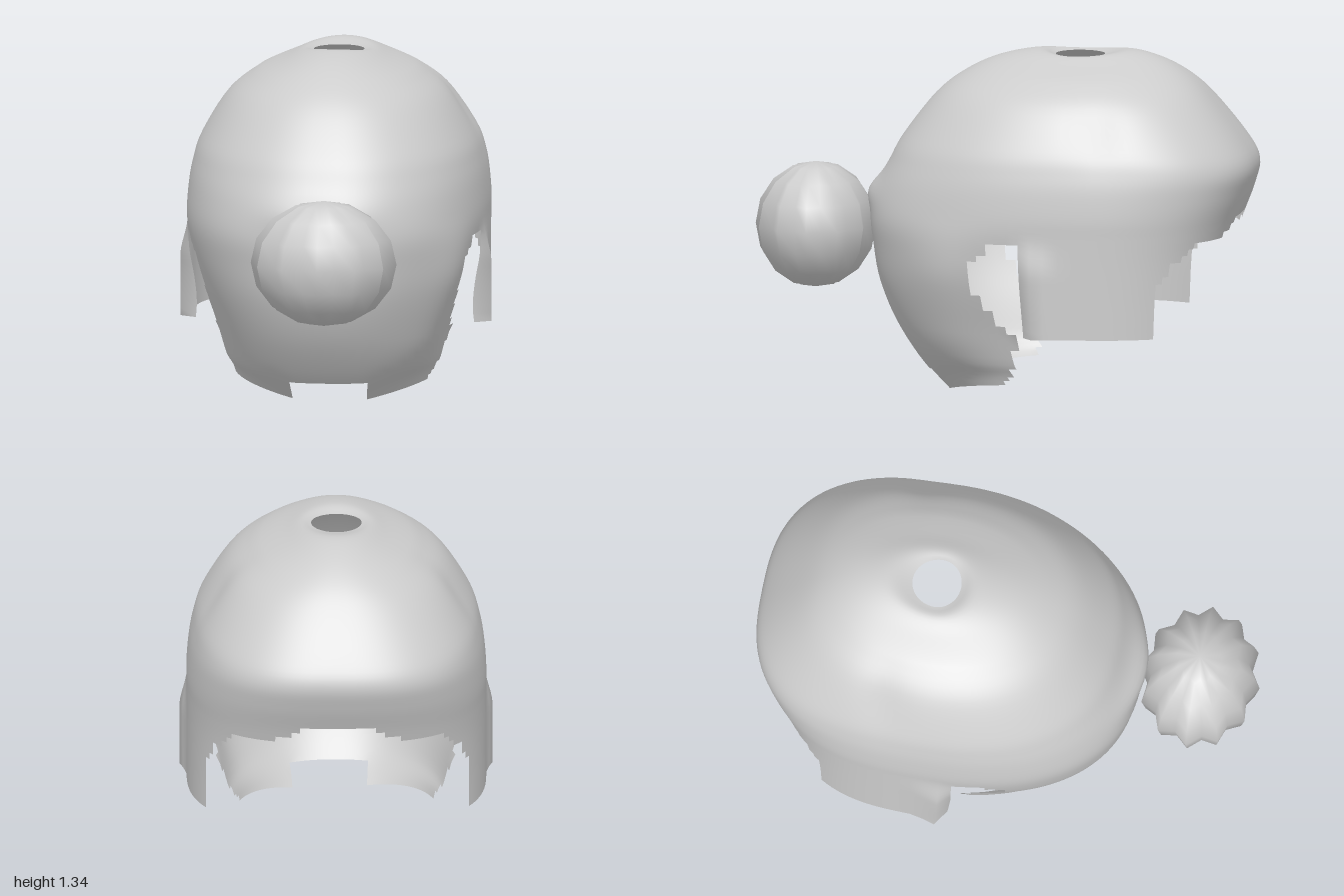
import * as THREE from 'three';
import { mergeVertices } from 'three/addons/utils/BufferGeometryUtils.js';

const CX = 0.012, CZ = -0.28; // axis of the shell
const { smoothstep, lerp } = THREE.MathUtils;
const bump = (v, centre, width) => Math.exp(-(((v - centre) / width) ** 2));

// Horizontal sections from crown to nape: y, half width, front z, back z
const SECTIONS = [
  [1.322, 0.1, -0.19, -0.385],
  [1.342, 0.145, -0.12, -0.49],
  [1.312, 0.215, 0.035, -0.61],
  [1.25, 0.32, 0.17, -0.72],
  [1.16, 0.435, 0.285, -0.815],
  [1.0, 0.535, 0.41, -0.94],
  [0.9, 0.569, 0.465, -0.99],
  [0.8, 0.586, 0.51, -0.97],
  [0.68, 0.592, 0.54, -0.925],
  [0.56, 0.572, 0.53, -0.89],
  [0.42, 0.53, 0.505, -0.87],
  [0.26, 0.475, 0.44, -0.86],
  [0.1, 0.432, 0.335, -0.85],
  [0.0, 0.41, 0.24, -0.85],
];

// Piecewise linear lookup through [key, value] pairs with rising keys
function lookup(pairs, k) {
  for (let i = 1; i < pairs.length; i++) {
    const [k0, v0] = pairs[i - 1], [k1, v1] = pairs[i];
    if (k <= k1) return v0 + (v1 - v0) * Math.max(0, (k - k0) / (k1 - k0));
  }
  return pairs[pairs.length - 1][1];
}

const NAPE_EDGE = [[0.06, -0.05], [0.12, -0.08], [0.24, -0.1], [0.33, 0], [0.46, 0.09], [0.56, 0.08], [0.62, 0]];
const FLAP_HEM = [[-0.98, 0.76], [-0.93, 0.7], [-0.89, 0.64], [-0.8, 0.62], [-0.72, 0.55], [-0.66, 0.46], [-0.65, 0.27], [-0.1, 0.27]];

// True where the hair exists: crown, side flaps, and nape, with an ear opening
function covered(x, y, z) {
  if (z < -0.14) return y > lookup(FLAP_HEM, z);
  if (y > 0.625) return true;
  return z > lookup(NAPE_EDGE, y) && (y > 0.075 || Math.abs(x - 0.035) > 0.145);
}

// Point of the shell on a section row (0 = crown hole) at angle t from the front
function shellPoint(row, [y, w, zf, zb], t) {
  const s = Math.sin(t), c = Math.cos(t);
  const square = lerp(2, c > 0 ? 2.3 : 2.7, smoothstep(row, 1, 6));
  const e = 2 / square;
  let z = CZ + Math.sign(c) * Math.abs(c) ** e * (c > 0 ? zf - CZ : CZ - zb);

  // side flaps hang straight and flare at the ear, while the nape tapers
  let half = w;
  if (y < 0.68 && y > 0.24) {
    half = lerp(0.592, w, smoothstep(z, -0.17, -0.1));
    half += 0.03 * bump(z, -0.17, 0.06) * (1 - smoothstep(y, 0.5, 0.66));
  }
  // shallow furrow down each temple
  half -= 0.016 * bump(z, -0.42, 0.09) * bump(y, 1.1, 0.13);
  let x = Math.sign(s) * Math.abs(s) ** e * half;
  // fuller nape on one side
  if (s > 0) x += 0.035 * bump(z, 0.2, 0.16) * (1 - smoothstep(y, 0.45, 0.75)) * smoothstep(y, 0.02, 0.25);

  // ridge where the bun is gathered
  if (c > 0) z += 0.035 * bump(x, 0, 0.18) * bump(y, 0.77, 0.06);
  // saddle between the two humps of the crown
  if (row < 3) y -= 0.02 * s * s * Math.sin((row / 3) * Math.PI);
  // nape hem rises to the sides
  y += 0.22 * Math.max(0, Math.abs(x - 0.025) - 0.145) * (1 - smoothstep(y, 0, 0.15));
  return [CX + x, y, z];
}

function shellGeometry() {
  const sides = 120, sub = 5;
  const rows = (SECTIONS.length - 1) * sub;
  const curve = new THREE.CubicInterpolant(SECTIONS.map((_, i) => i), SECTIONS.flat(), 4);
  const pos = [], index = [];
  for (let r = 0; r <= rows; r++) {
    const section = Array.from(curve.evaluate(r / sub));
    for (let i = 0; i < sides; i++) pos.push(...shellPoint(r / sub, section, (i / sides) * Math.PI * 2));
  }
  for (let r = 0; r < rows; r++) {
    for (let i = 0; i < sides; i++) {
      const j = (i + 1) % sides;
      const a = r * sides + i, b = a + sides, d = r * sides + j, c = d + sides;
      const mid = (k) => (pos[a * 3 + k] + pos[b * 3 + k] + pos[c * 3 + k] + pos[d * 3 + k]) / 4;
      if (covered(mid(0), mid(1), mid(2))) index.push(a, b, c, a, c, d);
    }
  }
  const g = new THREE.BufferGeometry();
  g.setAttribute('position', new THREE.Float32BufferAttribute(pos, 3));
  g.setIndex(index);
  g.computeVertexNormals();
  return g;
}

// Fluted ball: every other meridian is pulled inward
function bunGeometry() {
  const sphere = new THREE.SphereGeometry(1, 24, 8);
  const p = sphere.attributes.position;
  for (let i = 0; i < p.count; i++) {
    const k = (i % 25) % 2 ? 0.86 : 1;
    p.setXYZ(i, p.getX(i) * k * 0.29, p.getY(i) * 0.25, p.getZ(i) * k * 0.24);
  }
  sphere.deleteAttribute('uv');
  sphere.deleteAttribute('normal');
  const g = mergeVertices(sphere);
  g.computeVertexNormals();
  return g;
}

export function createModel() {
  const hair = new THREE.MeshStandardMaterial({ color: 0xcccccc, side: THREE.DoubleSide });
  hair.name = 'hair grey';
  const model = new THREE.Group();
  model.name = 'hairstyle';

  const shell = new THREE.Mesh(shellGeometry(), hair);
  shell.name = 'hairShell';

  const bun = new THREE.Mesh(bunGeometry(), hair);
  bun.name = 'hairBun';
  bun.position.set(0.07, 0.63, 0.76);

  model.add(shell, bun);
  return model;
}
